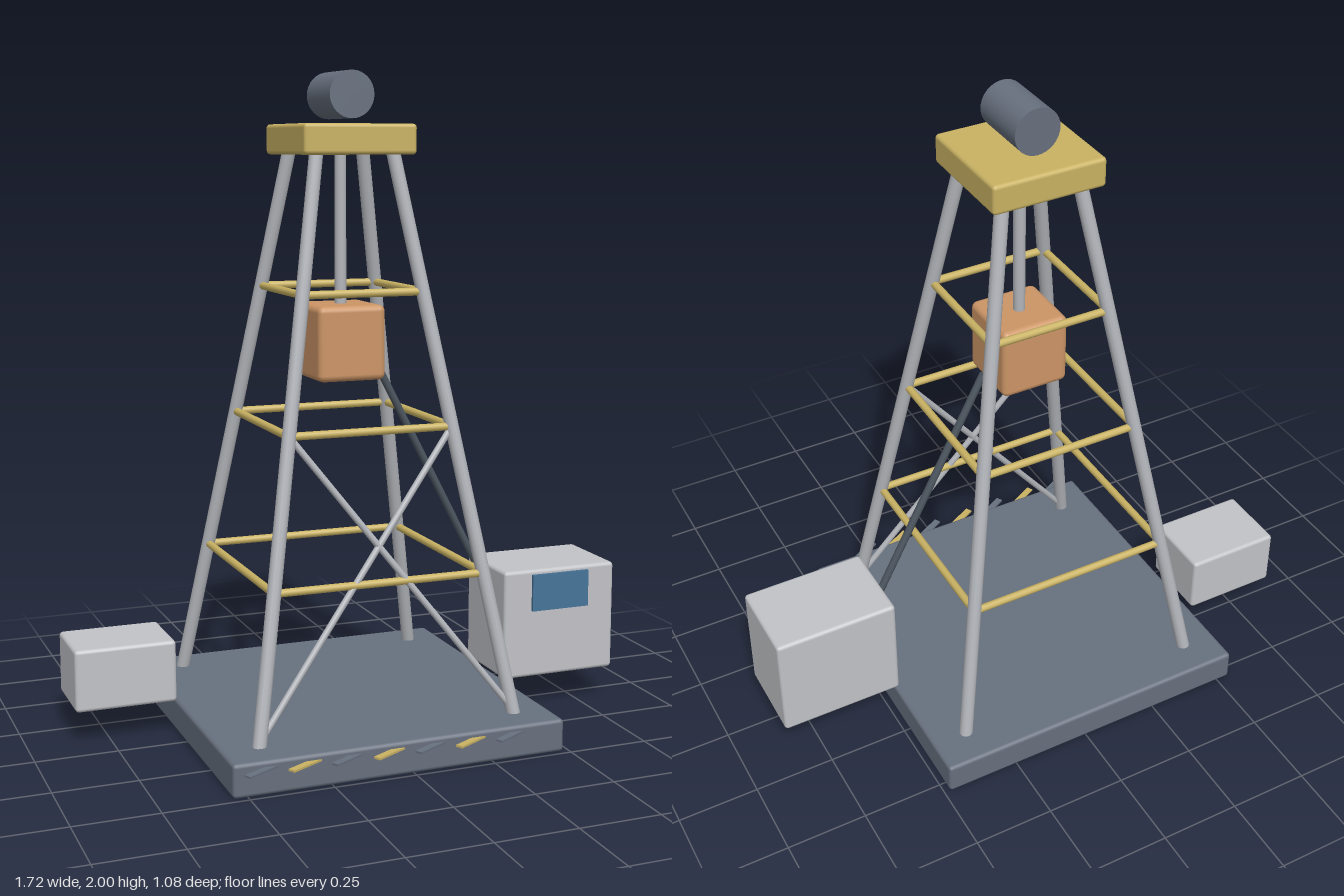
import * as THREE from 'three';
import { RoundedBoxGeometry } from 'three/addons/geometries/RoundedBoxGeometry.js';

const paint = (name, color) => {
  const m = new THREE.MeshStandardMaterial({ color });
  m.name = name;
  return m;
};

export function createModel() {
  const slate = paint('slate', 0x67707e);
  const steel = paint('steel', 0xb2b5ba);
  const yellow = paint('yellow', 0xc9b263);
  const copper = paint('copper', 0xcc9566);
  const paleGrey = paint('pale grey', 0xc2c3c7);
  const glass = paint('blue glass', 0x47759a);
  const darkSteel = paint('dark steel', 0x4b545e);

  const model = new THREE.Group();
  model.name = 'drillingRig';
  const add = (name, geometry, material, parent = model) => {
    const mesh = new THREE.Mesh(geometry, material);
    mesh.name = name;
    parent.add(mesh);
    return mesh;
  };
  const box = (name, size, pos, material, parent, r = 0.012) => {
    const mesh = add(name, new RoundedBoxGeometry(...size, 2, r), material, parent);
    mesh.position.set(...pos);
    return mesh;
  };
  // Round bar between two points
  const up = new THREE.Vector3(0, 1, 0);
  const bar = (name, a, b, r, material, parent) => {
    const p = new THREE.Vector3(...a), q = new THREE.Vector3(...b);
    const d = q.clone().sub(p);
    const mesh = add(name, new THREE.CylinderGeometry(r, r, d.length(), 12), material, parent);
    mesh.position.copy(p).add(q).multiplyScalar(0.5);
    mesh.quaternion.setFromUnitVectors(up, d.normalize());
    return mesh;
  };

  // Derrick, centred on its own axis
  const derrick = new THREE.Group();
  derrick.name = 'derrick';
  derrick.position.set(-0.031, 0, -0.027);
  model.add(derrick);

  box('basePlatform', [1.027, 0.1, 1.027], [0, 0.05, 0], slate, derrick);
  box('crownPlatform', [0.352, 0.09, 0.352], [0, 1.8, 0], yellow, derrick);

  // Half spacing of the legs at a given height
  const spread = (y) => 0.4 - 0.168 * (y - 0.1);
  const corners = [[1, 1], [-1, 1], [-1, -1], [1, -1]];
  const at = ([sx, sz], y) => [sx * spread(y), y, sz * spread(y)];

  corners.forEach((c) => bar('leg', at(c, 0.09), at(c, 1.78), 0.021, steel, derrick));

  // Horizontal rings
  for (const y of [0.52, 0.957, 1.355]) {
    corners.forEach((c, i) =>
      bar('ringBar', at(c, y), at(corners[(i + 1) % 4], y), 0.012, yellow, derrick));
  }

  // Cross braces on the front only
  bar('crossBrace', at(corners[0], 0.11), at(corners[1], 0.957), 0.01, steel, derrick);
  bar('crossBrace', at(corners[1], 0.11), at(corners[0], 0.957), 0.01, steel, derrick);

  // Hoist: drum, drill pipe and travelling block
  const drum = add('hoistDrum', new THREE.CylinderGeometry(0.07, 0.07, 0.197, 32), slate, derrick);
  drum.rotation.x = Math.PI / 2;
  drum.position.y = 1.93;
  bar('drillPipe', [0, 1.25, 0], [0, 1.78, 0], 0.018, steel, derrick);
  box('travellingBlock', [0.215, 0.227, 0.215], [0, 1.197, 0], copper, derrick, 0.02);

  // Hazard strips along the front edge
  for (let i = -3; i <= 3; i++) {
    const strip = add('hazardStrip', new THREE.BoxGeometry(0.24, 0.006, 0.022),
      i % 2 ? slate : yellow, derrick);
    strip.position.set(i * 0.127, 0.08, 0.501);
    strip.rotation.y = 0.5;
  }
  // First and last strips are slate, alternating inward

  // Hose down to the cabin
  bar('hose', [0.09, 1.115, -0.027], [0.485, 0.36, -0.027], 0.012, darkSteel);

  // Control cabin with window, and equipment box
  box('controlCabin', [0.39, 0.35, 0.273], [0.665, 0.28, -0.027], paleGrey);
  const pane = add('cabinWindow', new THREE.BoxGeometry(0.198, 0.118, 0.009), glass);
  pane.position.set(0.664, 0.381, 0.114);
  box('equipmentBox', [0.312, 0.192, 0.232], [-0.704, 0.201, -0.187], paleGrey);

  return model;
}
